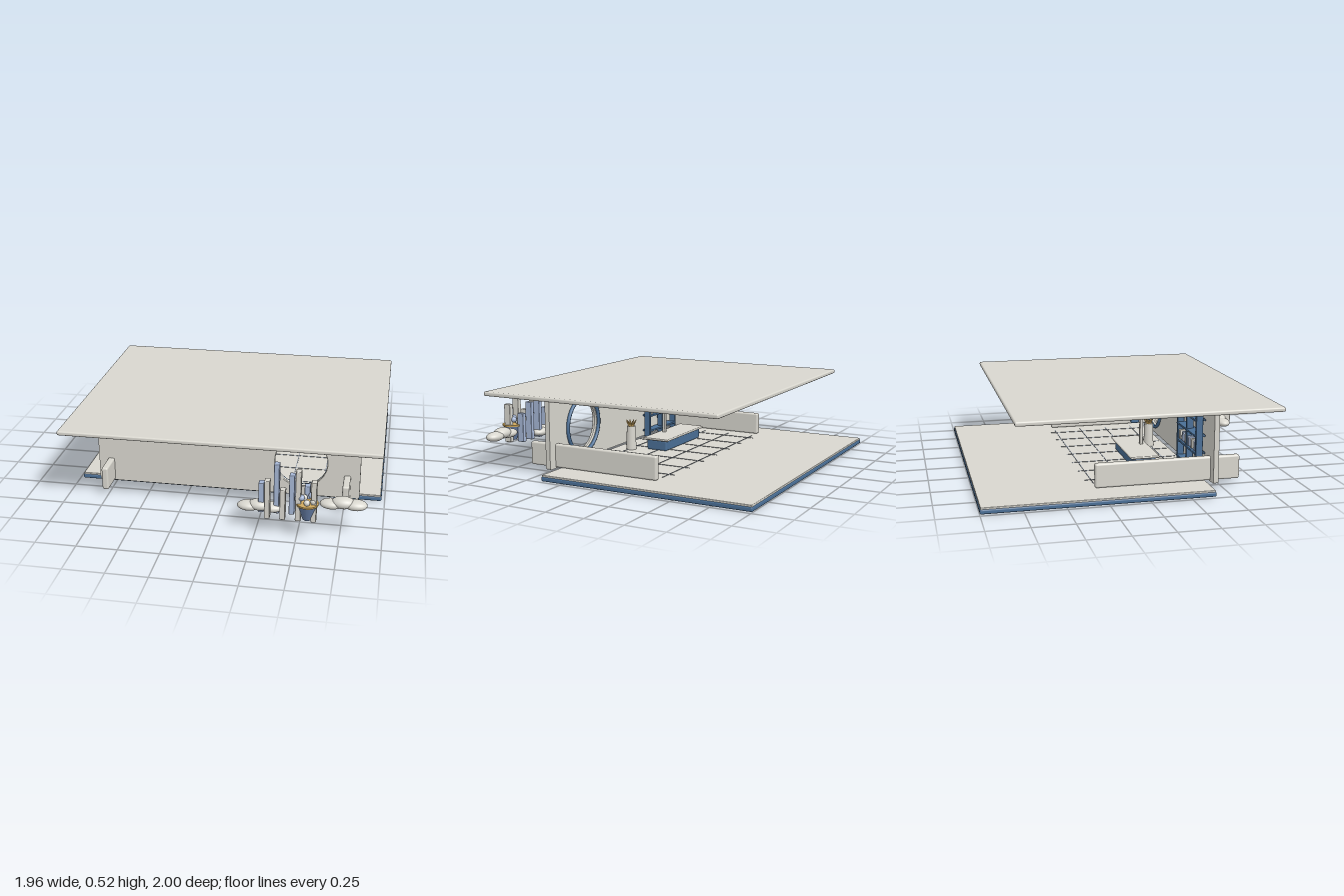
import * as THREE from 'three';
import { RoundedBoxGeometry } from 'three/addons/geometries/RoundedBoxGeometry.js';

export function createModel() {
  const model = new THREE.Group();
  const mat = (name, color) => {
    const m = new THREE.MeshStandardMaterial({ color });
    m.name = name;
    return m;
  };
  const stone = mat('warm light grey', 0xd9d7cf);
  const blue = mat('deep blue', 0x4a6f96);
  const paleBlue = mat('pale blue', 0xa6b7d6);
  const potBlue = mat('pot blue', 0x677fa8);
  const gold = mat('gold', 0xd0aa60);
  const lineGrey = mat('floor line grey', 0x8f98a5);

  const add = (name, geometry, material, x, y, z, parent = model) => {
    const mesh = new THREE.Mesh(geometry, material);
    mesh.name = name;
    mesh.position.set(x, y, z);
    parent.add(mesh);
    return mesh;
  };
  // Rounded box given by its extents
  const block = (name, material, x0, x1, y0, y1, z0, z1, r = 0.006, parent = model) => add(name,
    new RoundedBoxGeometry(x1 - x0, y1 - y0, z1 - z0, 2, r), material,
    (x0 + x1) / 2, (y0 + y1) / 2, (z0 + z1) / 2, parent);
  const group = (name) => {
    const g = new THREE.Group();
    g.name = name;
    model.add(g);
    return g;
  };

  // Floor and roof slabs
  block('basePlinth', blue, -0.98, 0.98, 0, 0.03, -1, 0.405, 0.01);
  block('floorSlab', stone, -0.975, 0.975, 0.022, 0.04, -0.995, 0.4, 0.004);
  block('roofSlab', stone, -0.98, 0.98, 0.496, 0.524, -0.79, 0.825, 0.01);
  add('ceilingRail', new THREE.BoxGeometry(0.015, 0.008, 0.76), gold, 0.54, 0.491, 0.05);

  // Low side walls
  for (const s of [-1, 1])
    block('sideWall', stone, s * 0.762 - 0.021, s * 0.762 + 0.021, 0.042, 0.192, -0.292, 0.618, 0.012);

  // Front wall with a round opening
  const hole = { x: 0.47, y: 0.262, r: 0.168 };
  const w = 0.842, b = 0.036, t = 0.496, c = 0.015;
  const wall = new THREE.Shape();
  wall.moveTo(-w + c, b);
  wall.lineTo(w - c, b);
  wall.quadraticCurveTo(w, b, w, b + c);
  wall.lineTo(w, t - c);
  wall.quadraticCurveTo(w, t, w - c, t);
  wall.lineTo(-w + c, t);
  wall.quadraticCurveTo(-w, t, -w, t - c);
  wall.lineTo(-w, b + c);
  wall.quadraticCurveTo(-w, b, -w + c, b);
  wall.holes.push(new THREE.Path().absarc(hole.x, hole.y, hole.r, 0, Math.PI * 2, true));
  add('frontWall', new THREE.ExtrudeGeometry(wall, { depth: 0.032, bevelEnabled: false, curveSegments: 40 }),
    stone, 0, 0, 0.429);
  add('openingTrim', new THREE.TorusGeometry(hole.r + 0.004, 0.008, 8, 56), stone, hole.x, hole.y, 0.452);
  add('openingBackTrim', new THREE.TorusGeometry(hole.r + 0.012, 0.012, 8, 56), blue, hole.x, hole.y, 0.421);

  // Thin floor joint lines
  const joints = group('floorJoints');
  for (let i = -3; i <= 3; i++)
    add('jointAlongDepth', new THREE.BoxGeometry(0.005, 0.003, 0.7), lineGrey, i * 0.2, 0.041, 0.03, joints);
  for (let i = 0; i < 4; i++)
    add('jointAlongWidth', new THREE.BoxGeometry(1.36, 0.003, 0.005), lineGrey, 0, 0.041, -0.28 + i * 0.19, joints);

  // Shelf unit against the inside of the front wall
  const shelf = group('shelfUnit');
  for (const x of [-0.69, -0.5, -0.31])
    block('shelfPost', blue, x - 0.012, x + 0.012, 0.04, 0.49, 0.36, 0.405, 0.004, shelf);
  for (const y of [0.08, 0.19, 0.3, 0.4])
    block('shelfBoard', blue, -0.69, -0.31, y - 0.007, y + 0.007, 0.355, 0.425, 0.004, shelf);
  for (let i = 0; i < 6; i++)
    block('shelfItem', i % 2 ? stone : paleBlue, -0.66 + i * 0.06, -0.63 + i * 0.06, 0.197, 0.26, 0.365, 0.41, 0.005, shelf);

  // Low desk
  block('deskBody', blue, -0.44, 0.06, 0.04, 0.11, 0.03, 0.18, 0.012);
  block('deskTop', stone, -0.46, 0.08, 0.11, 0.125, 0.01, 0.2, 0.006);

  // Jointed lamp standing on the desk
  const lamp = group('jointedLamp');
  const lx = -0.15;
  block('lampPost', stone, lx - 0.012, lx + 0.012, 0.12, 0.44, 0.148, 0.17, 0.005, lamp);
  block('lampHead', blue, lx - 0.045, lx + 0.045, 0.443, 0.474, 0.118, 0.208, 0.01, lamp);
  block('lampJoint', blue, lx - 0.025, lx + 0.025, 0.355, 0.375, 0.135, 0.185, 0.006, lamp);
  block('lampBand', gold, lx - 0.025, lx + 0.025, 0.32, 0.355, 0.13, 0.18, 0.005, lamp);
  block('lampHand', blue, lx - 0.025, lx + 0.025, 0.275, 0.33, 0.085, 0.14, 0.01, lamp);

  // Gold flower ornament on a stand
  const flower = group('flowerOrnament');
  add('flowerStand', new THREE.CylinderGeometry(0.03, 0.035, 0.16, 16), stone, 0.1, 0.12, 0.28, flower);
  for (let i = 0; i < 8; i++) {
    const a = (i / 8) * Math.PI * 2;
    const petal = add('petal', new THREE.ConeGeometry(0.011, 0.055, 6), gold,
      0.1 + Math.cos(a) * 0.024, 0.222, 0.28 + Math.sin(a) * 0.024, flower);
    petal.rotation.set(Math.sin(a) * 0.6, 0, -Math.cos(a) * 0.6);
  }

  // Staggered upright bars: pale blue row behind, grey row in front
  const bars = group('uprightBars');
  const rows = [
    [paleBlue, 0.28, 0.86, [0.312, 0.44, 0.376, 0.314]],
    [stone, 0.325, 0.932, [0.366, 0.314, 0.44, 0.376]],
  ];
  for (const [material, x, z, tops] of rows)
    tops.forEach((top, i) => block('bar', material, x + i * 0.091 - 0.0165, x + i * 0.091 + 0.0165,
      0.12, top, z - 0.024, z + 0.024, 0.005, bars));

  // Clouds of three flattened puffs each
  const cloud = (name, puffs) => {
    const g = group(name);
    for (const [x, y, ry] of puffs)
      add('puff', new THREE.SphereGeometry(1, 24, 16), stone, x, y, 0.86, g).scale.set(0.07, ry, 0.048);
  };
  cloud('lowCloud', [[0.203, 0.15, 0.029], [0.27, 0.16, 0.033], [0.342, 0.15, 0.029]]);
  cloud('highCloud', [[0.695, 0.204, 0.029], [0.762, 0.217, 0.036], [0.835, 0.207, 0.031]]);

  // Tapered planter with gold rim and buds
  const pot = group('planter');
  const px = 0.56, pz = 0.932;
  add('planterBody', new THREE.CylinderGeometry(0.06, 0.027, 0.1, 20), potBlue, px, 0.18, pz, pot);
  add('planterRim', new THREE.CylinderGeometry(0.066, 0.064, 0.012, 32), gold, px, 0.23, pz, pot);
  for (let i = 0; i < 5; i++) {
    const a = (i / 5) * Math.PI * 2 + Math.PI / 2;
    add('bud', new THREE.SphereGeometry(0.019, 16, 12), i % 2 ? paleBlue : stone,
      px + Math.cos(a) * 0.036, i % 2 ? 0.27 : 0.253, pz + Math.sin(a) * 0.036, pot);
  }

  return model;
}
